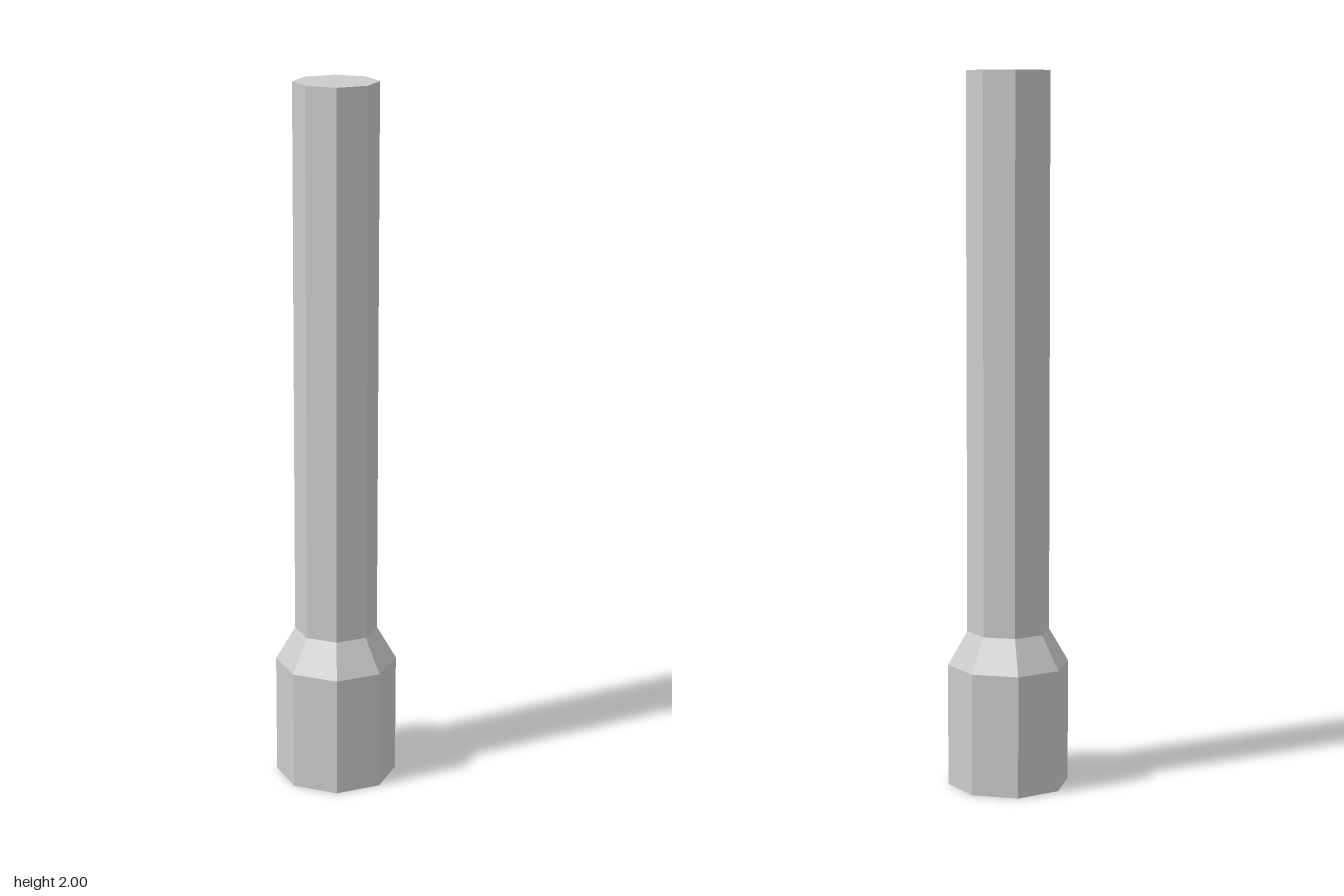
import * as THREE from 'three';

const SIDES = 8;
const BASE_RADIUS = 0.172;
const SHAFT_RADIUS = 0.117;
const BASE_TOP = 0.345;
const COLLAR_TOP = 0.44;
const HEIGHT = 2;

export function createModel() {
  const group = new THREE.Group();
  group.name = 'post';
  const material = new THREE.MeshStandardMaterial({ color: 0xcccccc, flatShading: true });

  // Turns a profile of [radius, height] pairs, bottom to top, into an eight-sided part
  const addPart = (name, profile) => {
    const points = profile.map(([r, y]) => new THREE.Vector2(r, y));
    const mesh = new THREE.Mesh(new THREE.LatheGeometry(points, SIDES), material);
    mesh.name = name;
    group.add(mesh);
  };

  // Wide foot, closed underneath
  addPart('base', [[0, 0], [BASE_RADIUS, 0], [BASE_RADIUS, BASE_TOP]]);
  // Sloped transition
  addPart('collar', [[BASE_RADIUS, BASE_TOP], [SHAFT_RADIUS, COLLAR_TOP]]);
  // Long shaft, closed on top
  addPart('shaft', [[SHAFT_RADIUS, COLLAR_TOP], [SHAFT_RADIUS, HEIGHT], [0, HEIGHT]]);

  return group;
}
